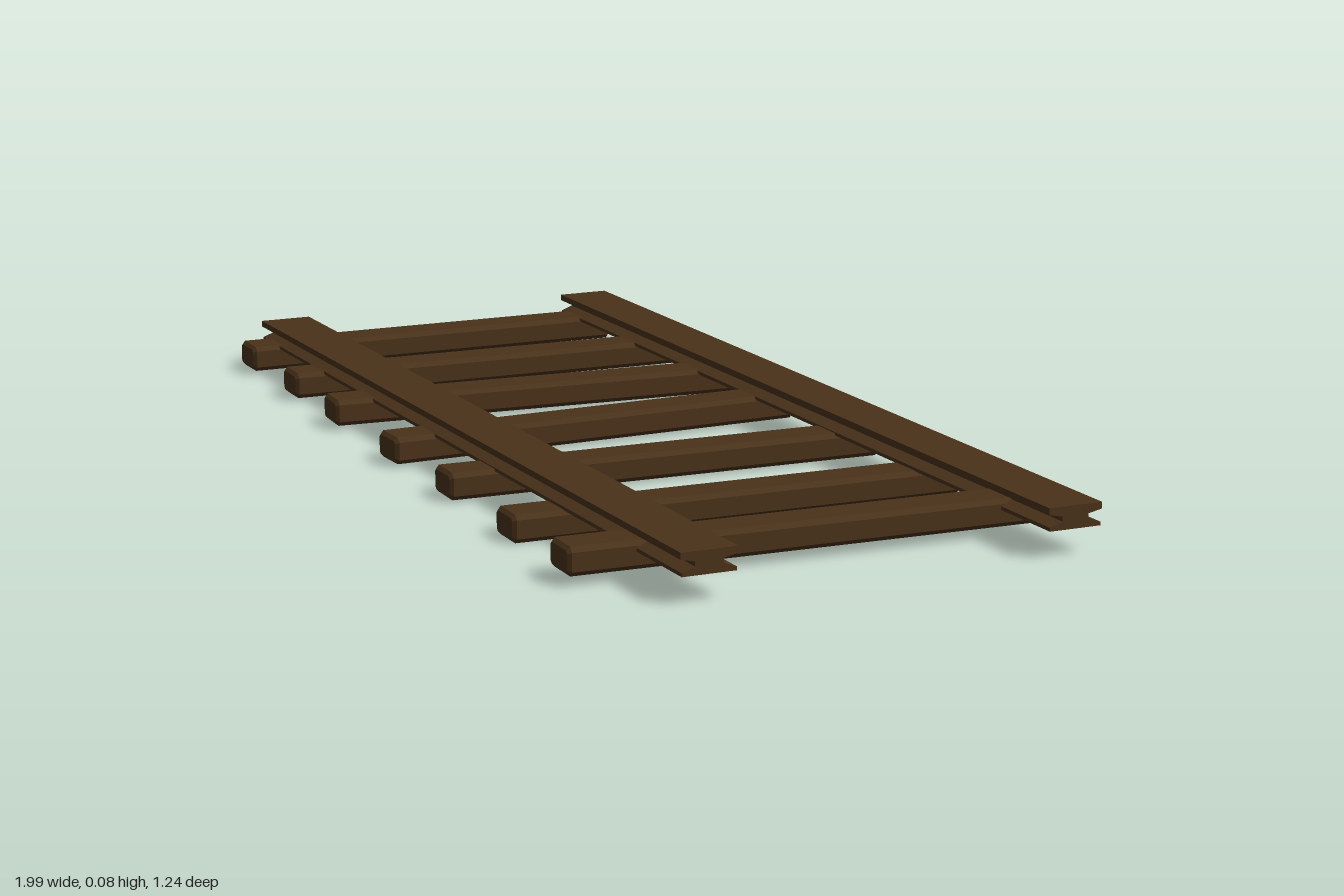
import * as THREE from 'three';

const wood = new THREE.MeshStandardMaterial({ color: 0x4a321a, flatShading: true });

// Extrude a cross-section along z, centred, with optional chamfered ends
function beam(points, length, bevel = 0) {
  const shape = new THREE.Shape(points.map(([x, y]) => new THREE.Vector2(x, y)));
  const geometry = new THREE.ExtrudeGeometry(shape, {
    depth: length - 2 * bevel,
    bevelEnabled: bevel > 0,
    bevelSize: bevel, bevelThickness: bevel, bevelOffset: -bevel, bevelSegments: 1,
  });
  return geometry.translate(0, 0, -length / 2 + bevel);
}

// Lay a beam on the ground plan from a = [x, z] to b = [x, z]
function lay(name, points, a, b, y, bevel) {
  const dx = b[0] - a[0], dz = b[1] - a[1];
  const mesh = new THREE.Mesh(beam(points, Math.hypot(dx, dz), bevel), wood);
  mesh.name = name;
  mesh.rotation.y = Math.atan2(dx, dz);
  mesh.position.set((a[0] + b[0]) / 2, y, (a[1] + b[1]) / 2);
  return mesh;
}

export function createModel() {
  const track = new THREE.Group();
  track.name = 'railTrack';

  // Rails: waisted I-section, wide head and foot
  const half = [[0.046, 0], [0.046, 0.006], [0.024, 0.014], [0.024, 0.022], [0.048, 0.027], [0.048, 0.038]];
  const railSection = [...half, ...half.map(([x, y]) => [-x, y]).reverse()];
  track.add(lay('backRail', railSection, [-0.815, -0.575], [0.98, -0.105], 0.046));
  track.add(lay('frontRail', railSection, [-0.985, 0.03], [0.81, 0.505], 0.046));

  // Sleepers: front end, back end, height of the underside
  const sleepers = [
    [[-0.955, 0.14], [-0.76, -0.58], 0.007],
    [[-0.72, 0.205], [-0.505, -0.535], 0.005],
    [[-0.485, 0.28], [-0.24, -0.46], 0.007],
    [[-0.195, 0.365], [-0.02, -0.4], 0.005],
    [[0.055, 0.435], [0.28, -0.33], 0.003],
    [[0.325, 0.515], [0.55, -0.26], 0],
    [[0.575, 0.605], [0.81, -0.185], 0.016],
  ];
  const w = 0.039, h = 0.047, c = 0.008;
  const sleeperSection = [
    [-w + c, 0], [w - c, 0], [w, c], [w, h - c], [w - c, h], [-w + c, h], [-w, h - c], [-w, c],
  ];
  sleepers.forEach(([front, back, y], i) =>
    track.add(lay(`sleeper${i + 1}`, sleeperSection, back, front, y, 0.006)));

  return track;
}
